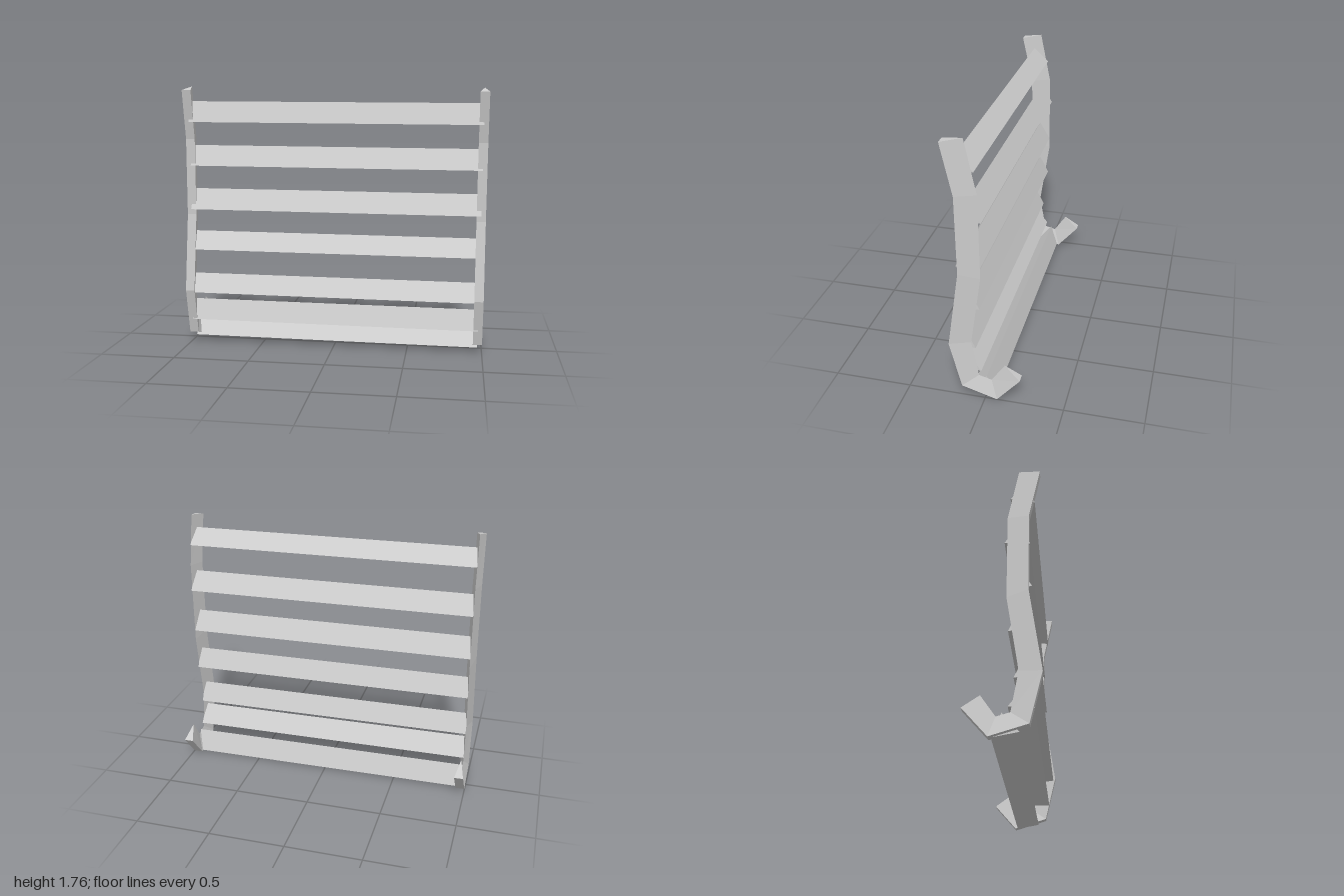
import * as THREE from 'three';

const material = new THREE.MeshStandardMaterial({ color: 0xcccccc, flatShading: true });

// Joins triangular cross-sections into a closed, faceted prism.
// The first ring runs counter-clockwise seen from outside its own end.
function loft(name, rings) {
  const pos = [];
  const tri = (...pts) => pts.forEach((p) => pos.push(...p));
  for (let i = 0; i < rings.length - 1; i++) {
    for (let j = 0; j < 3; j++) {
      const k = (j + 1) % 3;
      const a = rings[i][j], b = rings[i][k], c = rings[i + 1][k], d = rings[i + 1][j];
      tri(d, c, b);
      tri(d, b, a);
    }
  }
  const [s, e] = [rings[0], rings[rings.length - 1]];
  tri(s[0], s[1], s[2]);
  tri(e[2], e[1], e[0]);
  const geometry = new THREE.BufferGeometry();
  geometry.setAttribute('position', new THREE.Float32BufferAttribute(pos, 3));
  geometry.computeVertexNormals();
  const mesh = new THREE.Mesh(geometry, material);
  mesh.name = name;
  return mesh;
}

// Side rail, top to hook: [outer z, outer y, inner z, inner y]
const railPath = [
  [0.225, 1.735, 0.095, 1.76],
  [0.155, 1.41, 0.025, 1.42],
  [0.15, 0.9, 0.02, 0.87],
  [0.225, 0.385, 0.09, 0.4],
  [0.15, 0.075, 0.045, 0.155],
  [-0.075, 0.008, -0.035, 0.132],
  [-0.222, 0.178, -0.122, 0.26],
];

// Slat sections: [front z, y], [back z, y], [ridge z, y]
const slatSections = [
  [[0.19, 1.525], [0.042, 1.56], [0.14, 1.662]],
  [[0.16, 1.232], [0.007, 1.243], [0.09, 1.367]],
  [[0.17, 0.937], [0.021, 0.94], [0.092, 1.073]],
  [[0.18, 0.662], [0.03, 0.65], [0.09, 0.78]],
  [[0.211, 0.37], [0.062, 0.36], [0.125, 0.49]],
  [[0.178, 0.175], [0.03, 0.19], [0.125, 0.309]],
  [[0.095, 0.04], [-0.06, 0.013], [-0.004, 0.154]],
];

export function createModel() {
  const group = new THREE.Group();
  group.name = 'slattedBackrest';

  // Bent rails: flat face outward, ridge on the inside of the bend
  for (const side of [1, -1]) {
    const x = side * 0.97;
    group.add(loft(side > 0 ? 'leftRail' : 'rightRail', railPath.map(([oz, oy, iz, iy]) => [
      [x - 0.03, oy, oz], [x + 0.03, oy, oz], [x, iy, iz],
    ])));
  }

  // Triangular slats, running to the middle of each rail
  slatSections.forEach((section, i) => {
    group.add(loft(`slat${i + 1}`, [0.97, -0.97].map((x) => section.map(([z, y]) => [x, y, z]))));
  });

  // Slight sideways lean
  group.rotation.z = -0.005;
  return group;
}
